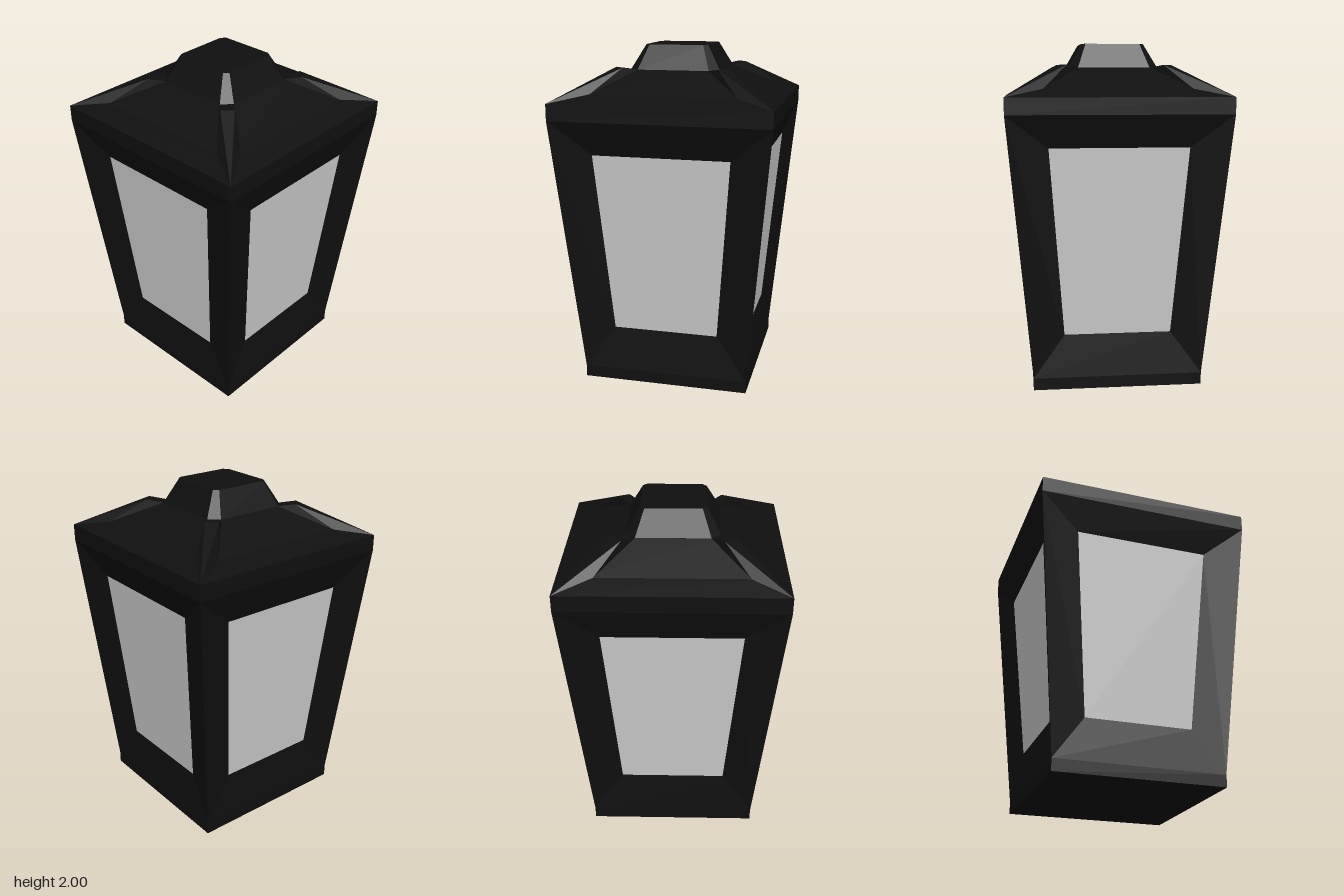
import * as THREE from 'three';

const metal = new THREE.MeshStandardMaterial({ color: 0x0f0f0f, flatShading: true });
const glass = new THREE.MeshStandardMaterial({ color: 0xcccccc, flatShading: true });

// Flat-faced geometry from convex polygons, corners counter-clockwise from outside
function polys(list) {
  const pos = [];
  for (const p of list) {
    for (let i = 1; i < p.length - 1; i++) pos.push(...p[0], ...p[i], ...p[i + 1]);
  }
  const g = new THREE.BufferGeometry();
  g.setAttribute('position', new THREE.Float32BufferAttribute(pos, 3));
  g.computeVertexNormals();
  return g;
}

// Horizontal square ring, with cut corners when c > 0
function ring(h, y, c = 0) {
  const pts = [];
  for (let k = 0; k < 4; k++) {
    const corner = c ? [[h - c, h], [h, h - c]] : [[h, h]];
    for (let [x, z] of corner) {
      for (let r = 0; r < k; r++) [x, z] = [z, -x];
      pts.push([x, y, z]);
    }
  }
  return pts;
}

// Walls between successive rings, from bottom to top
function walls(rings) {
  const out = [];
  for (let j = 0; j < rings.length - 1; j++) {
    const lo = rings[j], hi = rings[j + 1], n = lo.length;
    for (let i = 0; i < n; i++) out.push([lo[i], lo[(i + 1) % n], hi[(i + 1) % n], hi[i]]);
  }
  return out;
}

export function createModel() {
  const model = new THREE.Group();
  const add = (name, geo, mat = metal, parent = model) => {
    const m = new THREE.Mesh(geo, mat);
    m.name = name;
    parent.add(m);
    return m;
  };

  // Base with closed underside
  const foot = ring(0.495, 0);
  add('base', polys([[...foot].reverse(), ...walls([foot, ring(0.495, 0.07)])]));

  // Roof: upright eave, then two slopes
  const roofTop = ring(0.265, 1.86);
  add('roof', polys([...walls([ring(0.635, 1.6), ring(0.635, 1.695), ring(0.51, 1.74), roofTop]), roofTop]));

  // Cap with cut corners
  const capTop = ring(0.185, 2, 0.025);
  add('cap', polys([...walls([ring(0.267, 1.855, 0.055), capTop]), capTop]));

  // Raised hip ridge, rising from the eave corner to the cap
  const A = [0.635, 1.695, 0.635];
  const F = [0.51, 1.74, 0.42], C = [0.335, 1.875, 0.28], Q = [0.265, 1.86, 0.21];
  const swap = ([x, y, z]) => [z, y, x];
  const F2 = swap(F), C2 = swap(C), Q2 = swap(Q);
  const ridge = polys([[A, C, C2], [C, Q, Q2, C2], [A, F, C], [F, Q, C], [A, C2, F2], [F2, C2, Q2]]);

  // Four sides: bevelled frame sloping in to a recessed pane
  for (let k = 0; k < 4; k++) {
    const side = new THREE.Group();
    side.name = 'side' + (k + 1);
    side.rotation.y = k * Math.PI / 2;
    const [lowY, highY] = k % 2 ? [0.33, 1.403] : [0.32, 1.415];
    const outer = [[-0.495, 0.07, 0.495], [0.495, 0.07, 0.495], [0.635, 1.6, 0.635], [-0.635, 1.6, 0.635]];
    const inner = [[-0.312, lowY, 0.465], [0.312, lowY, 0.465], [0.397, highY, 0.562], [-0.397, highY, 0.562]];
    add('windowFrame', polys(walls([outer, inner])), metal, side);
    add('windowPane', polys([inner]), glass, side);
    add('roofRidge', ridge, metal, side);
    model.add(side);
  }
  return model;
}
